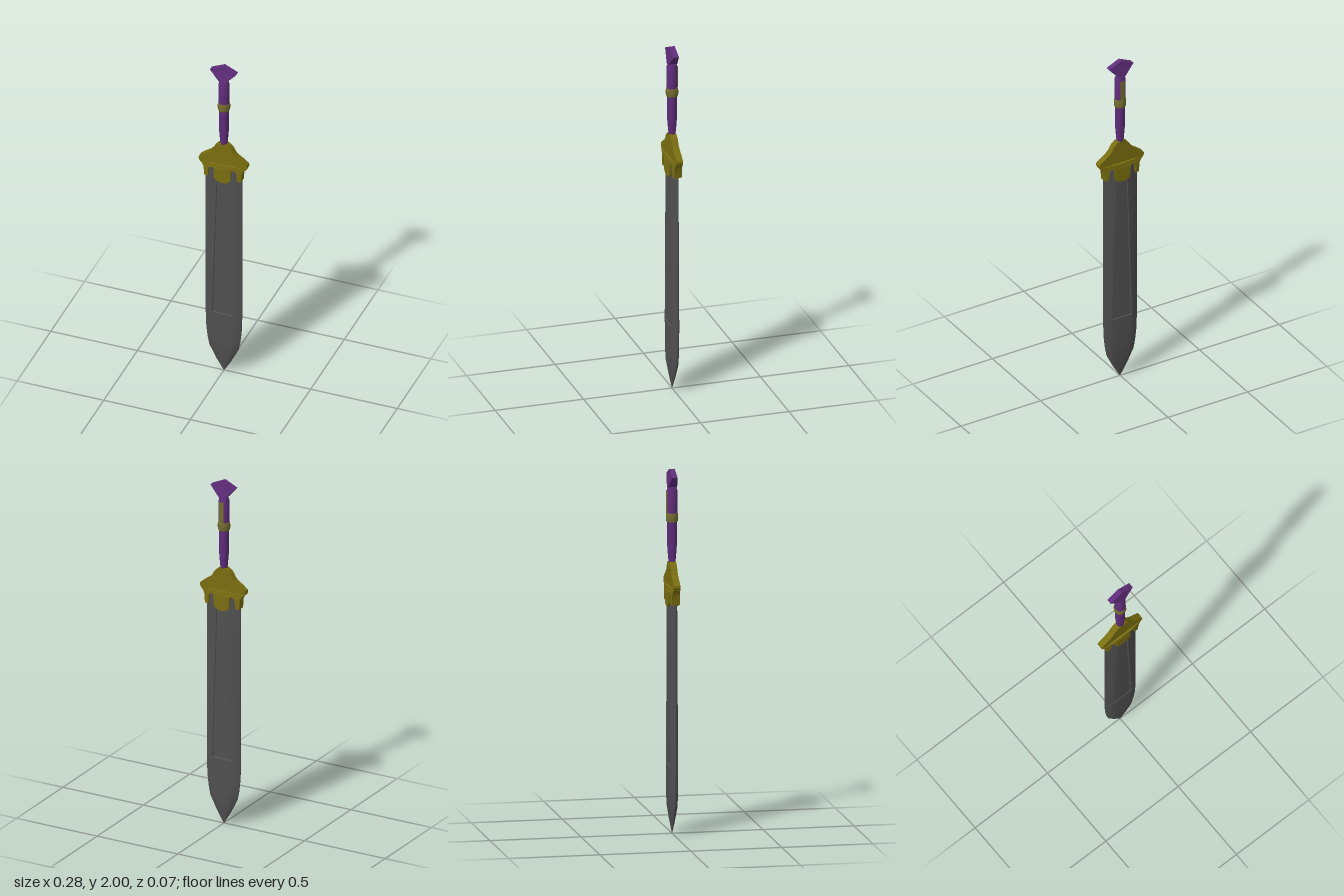
import * as THREE from 'three';
import { toCreasedNormals } from 'three/addons/utils/BufferGeometryUtils.js';

const mat = (color) => new THREE.MeshStandardMaterial({ color });
const STEEL = mat(0x505050), GOLD = mat(0x7a6e10), PURPLE = mat(0x5f2d7a), BRASS = mat(0x756c30);

function part(name, geometry, material, crease = 0.5) {
  const mesh = new THREE.Mesh(toCreasedNormals(geometry, crease), material);
  mesh.name = name;
  return mesh;
}

// Slab from the +x half of an outline, mirrored; halfDepth(x, y) sets its thickness.
function slab(half, halfDepth) {
  const mirrored = half.filter(([x]) => x > 0).map(([x, y]) => [-x, y]).reverse();
  const shape = new THREE.Shape([...half, ...mirrored].map(([x, y]) => new THREE.Vector2(x, y)));
  const geometry = new THREE.ExtrudeGeometry(shape, { depth: 1, bevelEnabled: false });
  const p = geometry.attributes.position;
  for (let i = 0; i < p.count; i++) {
    p.setZ(i, (p.getZ(i) > 0.5 ? 1 : -1) * halfDepth(Math.abs(p.getX(i)), p.getY(i)));
  }
  geometry.computeVertexNormals();
  return geometry;
}

// Blade lofted from lens sections: [y, half width, half thickness, fuller half width, fuller depth]
function bladeGeometry() {
  const levels = [
    [0, 0.001, 0.0005, 0.0005, 0],
    [0.07, 0.043, 0.011, 0.025, 0],
    [0.15, 0.083, 0.021, 0.048, 0],
    [0.2, 0.093, 0.022, 0.055, 0],
    [0.27, 0.101, 0.022, 0.06, 0],
    [0.38, 0.105, 0.022, 0.062, 0],
    [0.385, 0.105, 0.022, 0.062, 0.005],
    [1.36, 0.105, 0.022, 0.032, 0.005],
  ];
  const positions = [], indices = [];
  for (const [y, w, t, f, d] of levels) {
    const quarter = [
      [w, t * 0.15], [f + (w - f) * 0.5, t * 0.65], [f, t * 0.95],
      [f * 0.93, t * 0.96 - d], [f * 0.45, t * 0.99 - d],
    ];
    const front = [...quarter, [0, t - d], ...quarter.map(([x, z]) => [-x, z]).reverse()];
    const loop = [...front, ...front.map(([x, z]) => [-x, -z])];
    for (const [x, z] of loop) positions.push(x, y, z);
  }
  const n = 22;
  for (let r = 0; r < levels.length - 1; r++) {
    for (let i = 0; i < n; i++) {
      const a = r * n + i, b = r * n + (i + 1) % n;
      indices.push(a, a + n, b, b, a + n, b + n);
    }
  }
  const geometry = new THREE.BufferGeometry();
  geometry.setAttribute('position', new THREE.Float32BufferAttribute(positions, 3));
  geometry.setIndex(indices);
  geometry.computeVertexNormals();
  return geometry;
}

const lathe = (profile, sides) =>
  new THREE.LatheGeometry(profile.map(([r, y]) => new THREE.Vector2(r, y)), sides);

export function createModel() {
  const sword = new THREE.Group();
  sword.name = 'sword';

  sword.add(part('blade', bladeGeometry(), STEEL, 0.35));

  // Guard: curved crosspiece over a sleeve with three tongues
  const crosspiece = [
    [0, 1.345], [0.06, 1.345], [0.106, 1.353], [0.134, 1.36], [0.14, 1.37], [0.138, 1.383],
    [0.11, 1.405], [0.08, 1.425], [0.063, 1.442], [0.054, 1.46], [0.042, 1.476], [0.025, 1.49], [0, 1.497],
  ];
  sword.add(part('guardCrosspiece', slab(crosspiece, () => 0.018), GOLD));

  const sleeve = [
    [0, 1.247], [0.025, 1.251], [0.042, 1.262], [0.048, 1.275], [0.05, 1.335], [0.066, 1.338],
    [0.08, 1.325], [0.084, 1.272], [0.106, 1.272], [0.11, 1.325], [0.12, 1.345], [0.138, 1.36],
    [0.05, 1.362], [0, 1.362],
  ];
  const sleeveDepth = (x) => 0.03 - 0.013 * THREE.MathUtils.clamp((x - 0.05) / 0.09, 0, 1);
  sword.add(part('guardSleeve', slab(sleeve, sleeveDepth), GOLD));

  // Grip, with a band around it and an inlay up the back
  const grip = lathe([
    [0, 1.485], [0.019, 1.49], [0.022, 1.52], [0.026, 1.57], [0.027, 1.73], [0.03, 1.77],
    [0.03, 1.88], [0.022, 1.905], [0, 1.905],
  ], 16);
  sword.add(part('grip', grip, PURPLE));

  const band = lathe([
    [0.024, 1.708], [0.031, 1.712], [0.034, 1.725], [0.034, 1.745], [0.031, 1.758], [0.024, 1.762],
  ], 16);
  sword.add(part('gripBand', band, BRASS, 0.8));

  const inlay = new THREE.CylinderGeometry(0.0315, 0.0315, 0.12, 6, 1, true, Math.PI - 0.45, 0.9);
  inlay.translate(0, 1.82, 0);
  const inlayMesh = part('gripInlay', inlay, BRASS);
  inlayMesh.material = BRASS.clone();
  inlayMesh.material.side = THREE.DoubleSide;
  sword.add(inlayMesh);

  // Pommel: flared kite, thinner towards the top
  const pommel = [[0, 1.895], [0.016, 1.9], [0.076, 1.965], [0, 2]];
  const pommelDepth = (x, y) => 0.025 - 0.01 * THREE.MathUtils.clamp((y - 1.9) / 0.065, 0, 1);
  sword.add(part('pommel', slab(pommel, pommelDepth), PURPLE, 0.3));

  return sword;
}
